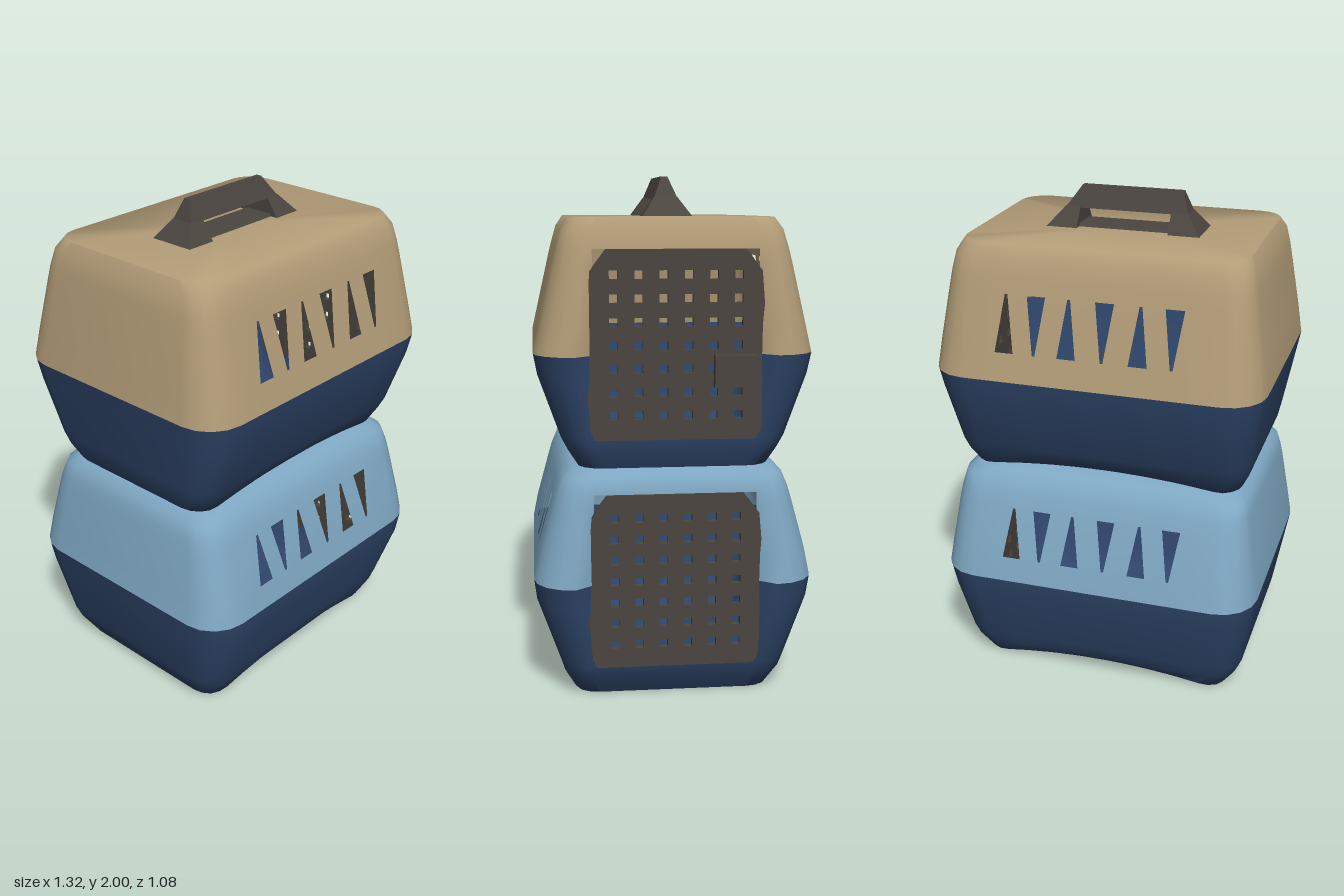
import * as THREE from 'three';
import { toCreasedNormals } from 'three/addons/utils/BufferGeometryUtils.js';

const material = (name, color, side = THREE.FrontSide) => {
  const m = new THREE.MeshStandardMaterial({ color, side });
  m.name = name;
  return m;
};

const slotCentres = [-0.34, -0.22, -0.09, 0.05, 0.19, 0.32];
const DOOR_X = 0.6, DOOR_HALF = 0.31;

// Rounded rectangle outline; each point is tagged with the segment it starts.
// lean widens every other ventilation slot and narrows the rest.
function outline(hx, hz, lean = 0) {
  const pts = [];
  const r = 0.1 + 0.5 * Math.max(0, hz - 0.43);
  const edges = slotCentres.flatMap((c, i) => {
    const w = 0.021 * (1 + (i % 2 ? -lean : lean));
    return [c - w, c + w];
  });
  const corner = (sx, sz, start) => {
    for (let k = 0; k <= 4; k++) {
      const a = start - (k / 4) * Math.PI / 2;
      pts.push({ x: sx * (hx - r) + r * Math.cos(a), z: sz * (hz - r) + r * Math.sin(a), tag: 'corner' });
    }
  };
  const wall = (side) => edges.forEach((x, i) =>
    pts.push({ x: side * x, z: side * hz, tag: i % 2 ? 'wall' : 'slot' }));
  wall(1);
  corner(1, 1, Math.PI / 2);
  const dz = Math.min(DOOR_HALF, hz - r - 0.005), dx = Math.min(hx, DOOR_X);
  pts.push({ x: dx, z: dz, tag: 'door' }, { x: dx, z: -dz, tag: 'wall' });
  corner(1, -1, 0);
  wall(-1);
  corner(-1, -1, -Math.PI / 2);
  corner(-1, 1, -Math.PI);
  return pts;
}

// Shell half lofted through rows [y, halfX, halfZ, lean], with one closed end;
// drop bows the first row down towards its ends
function shell(rows, { door, slots, drop = 0, closed }) {
  const rings = rows.map(([, hx, hz, lean]) => outline(hx, hz, lean));
  const n = rings[0].length, pos = [], idx = [];
  rings.forEach((ring, j) => ring.forEach(p =>
    pos.push(p.x, rows[j][0] - (j === 0 ? drop * Math.min(1, (p.x / 0.5) ** 2) : 0), p.z)));
  const inside = (y, range) => range && y > range[0] && y < range[1];
  for (let j = 0; j < rows.length - 1; j++) {
    const y = (rows[j][0] + rows[j + 1][0]) / 2;
    for (let i = 0; i < n; i++) {
      const tag = rings[j][i].tag;
      if ((tag === 'door' && inside(y, door)) || (tag === 'slot' && inside(y, slots))) continue;
      const k = (i + 1) % n, a = j * n + i, b = j * n + k;
      idx.push(a, b, b + n, a, b + n, a + n);
    }
  }
  // Cap
  const row = closed === 'top' ? rows.length - 1 : 0, centre = pos.length / 3;
  pos.push(0, rows[row][0], 0);
  for (let i = 0; i < n; i++) {
    const a = row * n + i, b = row * n + (i + 1) % n;
    if (closed === 'top') idx.push(centre, a, b); else idx.push(centre, b, a);
  }
  const g = new THREE.BufferGeometry();
  g.setAttribute('position', new THREE.Float32BufferAttribute(pos, 3));
  g.setIndex(idx);
  return toCreasedNormals(g, 1.05);
}

// Chamfered door plate, widest at the seam, pierced by a grid of openings
function grate([y0, y1], seam) {
  const poly = (P, pts) => new P(pts.map(p => new THREE.Vector2(...p)));
  const right = [[0.3, y0], [0.32, y0 + 0.03], [0.345, seam], [0.32, y1 - 0.08], [0.26, y1]];
  const left = right.map(([x, y]) => [-x, y]).reverse();
  const shape = poly(THREE.Shape, [...right, ...left]);
  const cols = 6, rows = 7, sx = 0.56 / cols, sy = (y1 - y0 - 0.1) / rows;
  for (let i = 0; i < cols; i++) for (let j = 0; j < rows; j++) {
    const x = -0.28 + (i + 0.5) * sx, y = y0 + 0.05 + (j + 0.5) * sy, h = 0.016;
    shape.holes.push(poly(THREE.Path, [[x - h, y - h], [x - h, y + h], [x + h, y + h], [x + h, y - h]]));
  }
  const g = new THREE.ExtrudeGeometry(shape, { depth: 0.025, bevelEnabled: false });
  return g.rotateY(Math.PI / 2).translate(DOOR_X - 0.015, 0, 0);
}

// Box whose bottom and top are separate rectangles [x0, x1, y, halfZ]
function taper(bottom, top) {
  const g = new THREE.BoxGeometry(1, 1, 1), p = g.attributes.position;
  for (let i = 0; i < p.count; i++) {
    const [x0, x1, y, hz] = p.getY(i) > 0 ? top : bottom;
    p.setXYZ(i, p.getX(i) < 0 ? x0 : x1, y, Math.sign(p.getZ(i)) * hz);
  }
  g.computeVertexNormals();
  return g;
}

export function createModel() {
  const tan = material('tan plastic', 0xb29c77, THREE.DoubleSide);
  const sky = material('light blue plastic', 0x7fa8c3, THREE.DoubleSide);
  const navy = material('navy plastic', 0x2e4569, THREE.DoubleSide);
  const dark = material('dark grey', 0x4b4540);
  const model = new THREE.Group();
  model.name = 'stackedCarriers';

  const add = (parent, name, geometry, mat) => {
    const mesh = new THREE.Mesh(geometry, mat);
    mesh.name = name;
    parent.add(mesh);
  };

  const carrier = (name, o) => {
    const g = new THREE.Group();
    g.name = name;
    add(g, 'base', shell(o.base, { door: o.door, drop: o.drop, closed: 'bottom' }), navy);
    add(g, 'lid', shell(o.lid, { door: o.door, slots: o.slots, closed: 'top' }), o.color);
    add(g, 'grateDoor', grate(o.door, o.lid[0][0]), dark);
    model.add(g);
    return g;
  };

  // Lower carrier
  const lower = carrier('lowerCarrier', {
    color: sky, door: [0.13, 0.81], slots: [0.56, 0.76], drop: 0.045,
    base: [[0.045, 0.53, 0.39], [0.08, 0.58, 0.425], [0.13, 0.6, 0.44], [0.38, 0.645, 0.53], [0.46, 0.66, 0.54]],
    lid: [[0.46, 0.66, 0.54], [0.56, 0.645, 0.52, 0.75], [0.76, 0.615, 0.465, -0.75], [0.81, 0.605, 0.45],
      [0.87, 0.59, 0.425], [0.9, 0.55, 0.39]],
  });
  add(lower, 'foldedHandle', new THREE.BoxGeometry(0.68, 0.026, 0.2).translate(0.02, 0.909, 0), dark);

  // Upper carrier
  const upper = carrier('upperCarrier', {
    color: tan, door: [1.02, 1.73], slots: [1.45, 1.67], drop: 0.035,
    base: [[0.94, 0.56, 0.37], [0.97, 0.59, 0.405], [1.02, 0.6, 0.43], [1.26, 0.645, 0.515], [1.34, 0.66, 0.53]],
    lid: [[1.34, 0.66, 0.53], [1.45, 0.645, 0.505, 0.75], [1.67, 0.61, 0.455, -0.75], [1.73, 0.6, 0.44],
      [1.8, 0.585, 0.42], [1.845, 0.56, 0.39]],
  });

  // Door latch
  add(upper, 'doorLatch', new THREE.BoxGeometry(0.04, 0.12, 0.16).translate(0.628, 1.28, -0.22), dark);

  // Raised carrying handle
  const handle = new THREE.Group();
  handle.name = 'carryHandle';
  add(handle, 'leftLeg', taper([0.18, 0.31, 1.84, 0.1], [0.18, 0.24, 1.92, 0.045]), dark);
  add(handle, 'rightLeg', taper([-0.32, -0.19, 1.84, 0.1], [-0.26, -0.19, 1.92, 0.045]), dark);
  add(handle, 'grip', taper([-0.26, 0.24, 1.915, 0.046], [-0.23, 0.18, 2, 0.012]), dark);
  add(handle, 'footing', taper([-0.2, 0.19, 1.84, 0.07], [-0.2, 0.19, 1.855, 0.06]), dark);
  upper.add(handle);

  return model;
}
